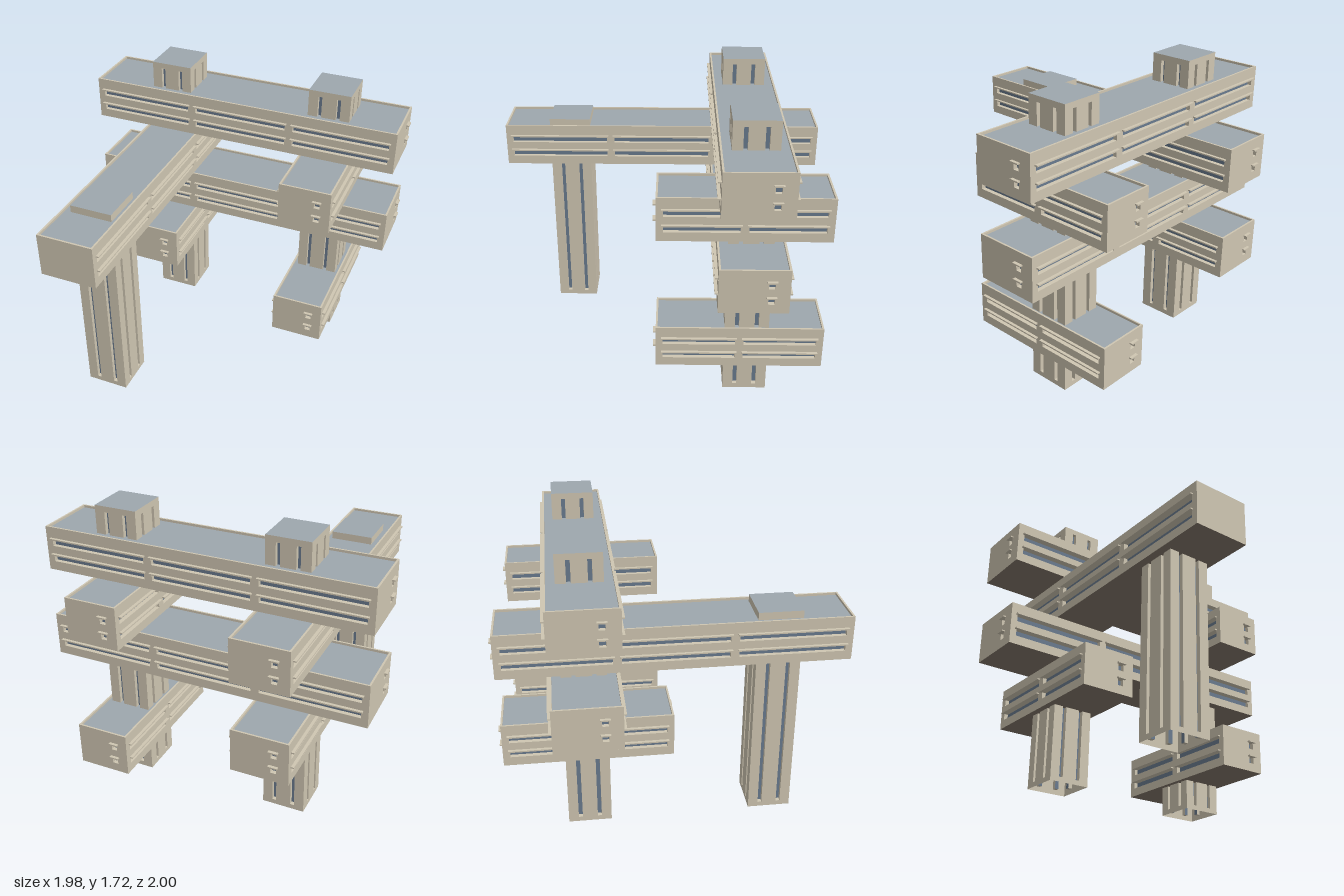
import * as THREE from 'three';
import { mergeGeometries } from 'three/addons/utils/BufferGeometryUtils.js';

const paint = (name, color) =>
  new THREE.MeshStandardMaterial({ name, color, side: THREE.DoubleSide });
const concrete = paint('concrete', 0xcfc6b2);
const glass = paint('window glass', 0x697a8e);
const roofing = paint('roofing', 0x9da7ae);
const soffit = paint('dark soffit', 0x83786b);

const HALF = Math.PI / 2;

function add(group, name, geometry, material) {
  const mesh = new THREE.Mesh(geometry, material);
  mesh.name = name;
  group.add(mesh);
  return mesh;
}

const plane = (w, h, rx, ry, x, y, z) =>
  new THREE.PlaneGeometry(w, h).rotateX(rx).rotateY(ry).translate(x, y, z);

// A flat wall facing +z with rectangular recesses; each opening is [centre x, centre y, width, height]
function panel(w, h, openings, depth, fillName, fillMaterial) {
  const group = new THREE.Group();
  const rect = (P, x, y, a, b) => {
    const p = new P();
    p.moveTo(x - a / 2, y - b / 2);
    p.lineTo(x + a / 2, y - b / 2);
    p.lineTo(x + a / 2, y + b / 2);
    p.lineTo(x - a / 2, y + b / 2);
    p.closePath();
    return p;
  };
  const shape = rect(THREE.Shape, 0, 0, w, h);
  const walls = [], fills = [];
  for (const [x, y, a, b] of openings) {
    shape.holes.push(rect(THREE.Path, x, y, a, b));
    // reveals around the recess
    walls.push(
      plane(depth, b, 0, HALF, x - a / 2, y, -depth / 2),
      plane(depth, b, 0, -HALF, x + a / 2, y, -depth / 2),
      plane(a, depth, -HALF, 0, x, y - b / 2, -depth / 2),
      plane(a, depth, HALF, 0, x, y + b / 2, -depth / 2));
    fills.push(plane(a, b, 0, 0, x, y, -depth));
  }
  walls.push(new THREE.ShapeGeometry(shape));
  add(group, 'wall', mergeGeometries(walls), concrete);
  if (fills.length) add(group, fillName, mergeGeometries(fills), fillMaterial);
  return group;
}

// Window wall with a thin sunshade over every opening
function windowWall(w, h, openings) {
  const group = panel(w, h, openings, 0.025, 'windows', glass);
  const shades = openings.map(([x, y, a, b]) =>
    new THREE.BoxGeometry(a + 0.02, 0.008, 0.018).translate(x, y + b / 2 + 0.004, 0.009));
  if (shades.length) add(group, 'sunshades', mergeGeometries(shades), concrete);
  return group;
}

const ROWS = [-0.057, 0.038];
const BEAM_H = 0.263, WIN_H = 0.041;

// Bridge block along x, with ribbon windows on both long sides
function beam(name, length, width, bays, blankEnd) {
  const group = new THREE.Group();
  group.name = name;
  const margin = 0.04, gap = 0.048;
  const bay = (length - 2 * margin - (bays - 1) * gap) / bays;
  const ribbons = [], endWindows = [];
  for (const y of ROWS) {
    for (let i = 0; i < bays; i++) {
      ribbons.push([-length / 2 + margin + bay / 2 + i * (bay + gap), y, bay, WIN_H]);
    }
    endWindows.push([width * 0.243, y, 0.035, WIN_H]);
  }
  for (const s of [1, -1]) {
    const side = windowWall(length, BEAM_H, ribbons);
    side.name = s > 0 ? 'ribbonSideA' : 'ribbonSideB';
    side.position.z = s * width / 2;
    side.rotation.y = s > 0 ? 0 : Math.PI;
    const end = windowWall(width, BEAM_H, s > 0 && blankEnd ? [] : endWindows);
    end.name = s > 0 ? 'endWallA' : 'endWallB';
    end.position.x = s * length / 2;
    end.rotation.y = s * HALF;
    group.add(side, end);
  }
  // sunken roof inside a low parapet
  const top = panel(length, width, [[0, 0, length - 0.022, width - 0.022]], 0.014, 'roof', roofing);
  top.name = 'roofAndParapet';
  top.rotation.x = -HALF;
  top.position.y = BEAM_H / 2;
  group.add(top);
  add(group, 'underside', plane(length, width, HALF, 0, 0, -BEAM_H / 2, 0), soffit);
  return group;
}

// Square shaft, open at the foot, with two tall window slots per side
function tower(name, x, z, height, slotTop) {
  const size = 0.256, slotFoot = 0.03;
  const group = new THREE.Group();
  group.name = name;
  const slots = [-0.057, 0.057].map((sx) =>
    [sx, (slotTop + slotFoot - height) / 2, 0.024, slotTop - slotFoot]);
  for (let i = 0; i < 4; i++) {
    const side = panel(size, height, slots, 0.025, 'windowSlots', glass);
    side.name = 'shaftSide';
    side.rotation.y = i * HALF;
    side.position.set(Math.sin(i * HALF) * size / 2, height / 2, Math.cos(i * HALF) * size / 2);
    group.add(side);
  }
  add(group, 'towerRoof', plane(size, size, -HALF, 0, 0, height, 0), roofing);
  group.position.set(x, 0, z);
  return group;
}

export function createModel() {
  const model = new THREE.Group();
  model.name = 'interlockingBuilding';

  model.add(
    tower('rightBackTower', -0.479, -0.503, 1.72, 1.685),
    tower('leftBackTower', 0.541, -0.503, 1.72, 1.685),
    tower('frontTower', -0.469, 0.594, 1.32, 1.26));

  // blocks running across
  for (const [name, y] of [['upperCrossBlock', 1.436], ['lowerCrossBlock', 0.877]]) {
    const b = beam(name, 1.945, 0.38, 3, false);
    b.position.set(-0.001, y, -0.503);
    model.add(b);
  }

  // blocks running front to back: name, x, y, back z, front z, width, bays, blank front
  const blocks = [
    ['longBlock', -0.475, 1.158, -0.985, 1, 0.34, 3, true],
    ['upperLeftBlock', 0.541, 1.158, -0.947, 0.022, 0.318, 2, false],
    ['lowerRightBlock', -0.475, 0.598, -0.98, -0.003, 0.34, 2, false],
    ['lowerLeftBlock', 0.541, 0.319, -0.947, 0.024, 0.318, 2, false],
  ];
  for (const [name, x, y, z0, z1, width, bays, blank] of blocks) {
    const b = beam(name, z1 - z0, width, bays, blank);
    b.rotation.y = -HALF;
    b.position.set(x, y, (z0 + z1) / 2);
    model.add(b);
  }
  return model;
}
